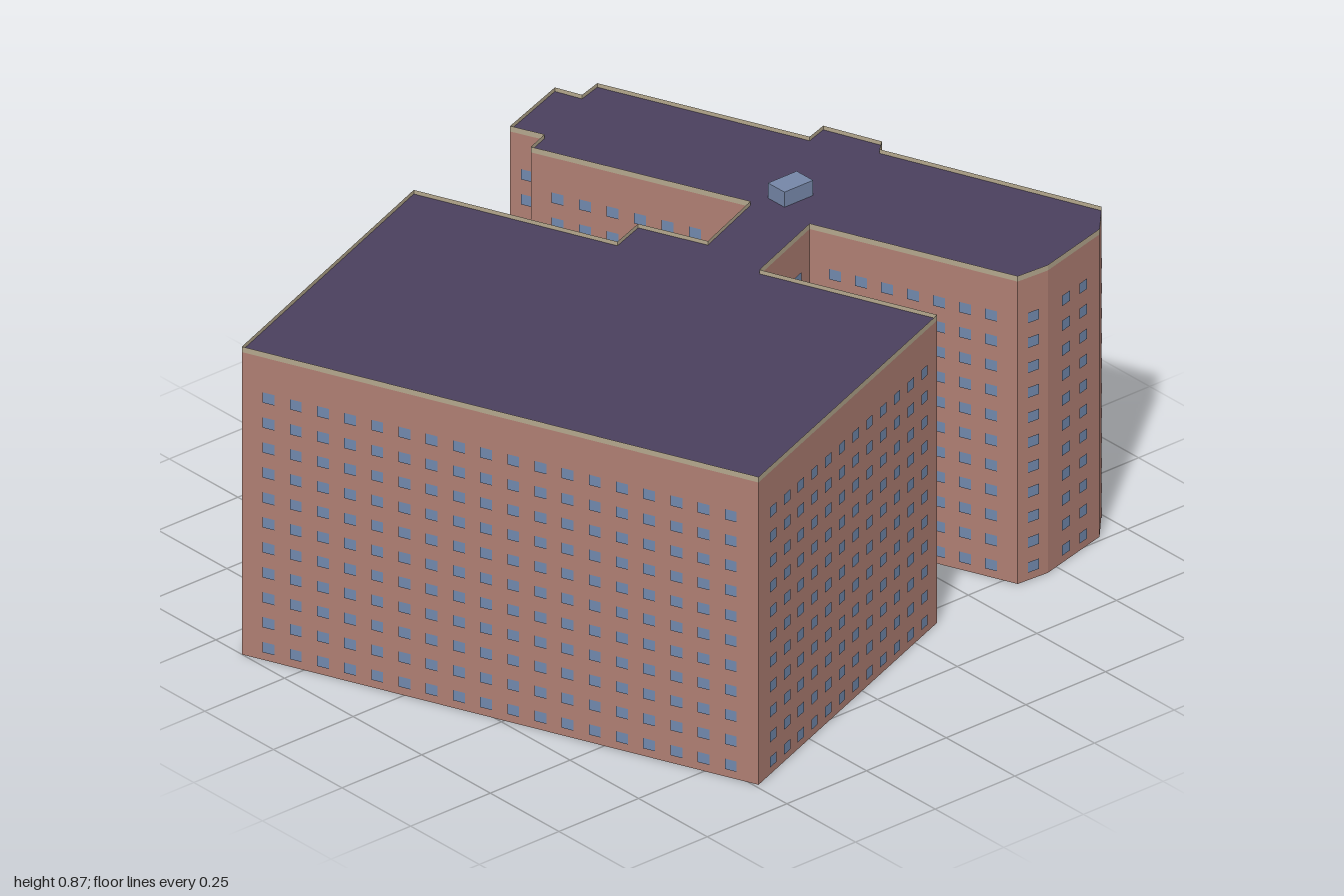
import * as THREE from 'three';
import { mergeGeometries } from 'three/addons/utils/BufferGeometryUtils.js';

const mat = (name, color, side = THREE.FrontSide) => {
  const m = new THREE.MeshStandardMaterial({ color, side });
  m.name = name;
  return m;
};

// Footprint corners [x, z], clockwise seen from above
const OUTLINE = [
  [-1, -0.405], [-0.185, -0.725], [0.015, -0.215], [0.11, -0.25], [0.18, -0.077], [0.385, -0.16],
  [0.165, -0.705], [0.23, -0.73], [0.195, -0.815], [0.4, -0.89], [0.425, -0.82], [0.49, -0.84],
  [0.7, -0.31], [0.76, -0.33], [0.815, -0.18], [0.785, -0.155], [1, 0.405], [0.925, 0.485],
  [0.715, 0.54], [0.625, 0.535], [0.42, 0.015], [0.18, 0.11], [0.355, 0.555], [-0.49, 0.885],
];
const ROOF_Y = 0.82, TOP_Y = 0.835;
const FLOORS = 11, FIRST_ROW = 0.036, ROW_STEP = 0.0677, COLUMN_STEP = 0.074;

// Each side of the footprint with its length and outward heading
const SIDES = OUTLINE.map(([x, z], i) => {
  const [x2, z2] = OUTLINE[(i + 1) % OUTLINE.length];
  const dx = x2 - x, dz = z2 - z;
  return { x, z, dx, dz, length: Math.hypot(dx, dz), heading: Math.atan2(dz, -dx) };
});

// Upright panel centred at fraction t along a side, pushed outward by "out"
function panel(side, t, y, width, height, out = 0) {
  return new THREE.PlaneGeometry(width, height)
    .translate(0, 0, out)
    .rotateY(side.heading)
    .translate(side.x + side.dx * t, y, side.z + side.dz * t);
}

// Ring of panels following the whole footprint
const band = (y0, y1) =>
  mergeGeometries(SIDES.map((s) => panel(s, 0.5, (y0 + y1) / 2, s.length, y1 - y0)));

export function createModel() {
  const group = new THREE.Group();
  group.name = 'building';
  const brick = mat('brick', 0xb07f73, THREE.DoubleSide);
  const trim = mat('parapetTan', 0xb5a88e, THREE.DoubleSide);
  const roofing = mat('roofPurple', 0x4b405e, THREE.DoubleSide);
  const glass = mat('windowBlue', 0x7189ad);
  const metal = mat('unitBlueGrey', 0x7687a8);

  const add = (name, geometry, material) => {
    const mesh = new THREE.Mesh(geometry, material);
    mesh.name = name;
    group.add(mesh);
    return mesh;
  };

  // Outer walls, open underneath, with a thin parapet on top
  add('walls', band(0, ROOF_Y), brick);
  add('parapet', band(ROOF_Y, TOP_Y), trim);

  // Flat roof just below the parapet edge
  const shape = new THREE.Shape(OUTLINE.map(([x, z]) => new THREE.Vector2(x, -z)));
  add('roof', new THREE.ShapeGeometry(shape).rotateX(-Math.PI / 2).translate(0, ROOF_Y + 0.004, 0), roofing);

  // Evenly spaced window grid on every side long enough to carry one
  const panes = [];
  for (const side of SIDES) {
    const columns = Math.floor(side.length / COLUMN_STEP);
    for (let c = 1; c <= columns; c++) {
      for (let f = 0; f < FLOORS; f++) {
        panes.push(panel(side, c / (columns + 1), FIRST_ROW + f * ROW_STEP, 0.032, 0.028, 0.003));
      }
    }
  }
  add('windows', mergeGeometries(panes), glass);

  // Rooftop plant box
  add('roofUnit', new THREE.BoxGeometry(0.09, 0.043, 0.06), metal).position.set(0.485, 0.8435, -0.13);

  return group;
}
